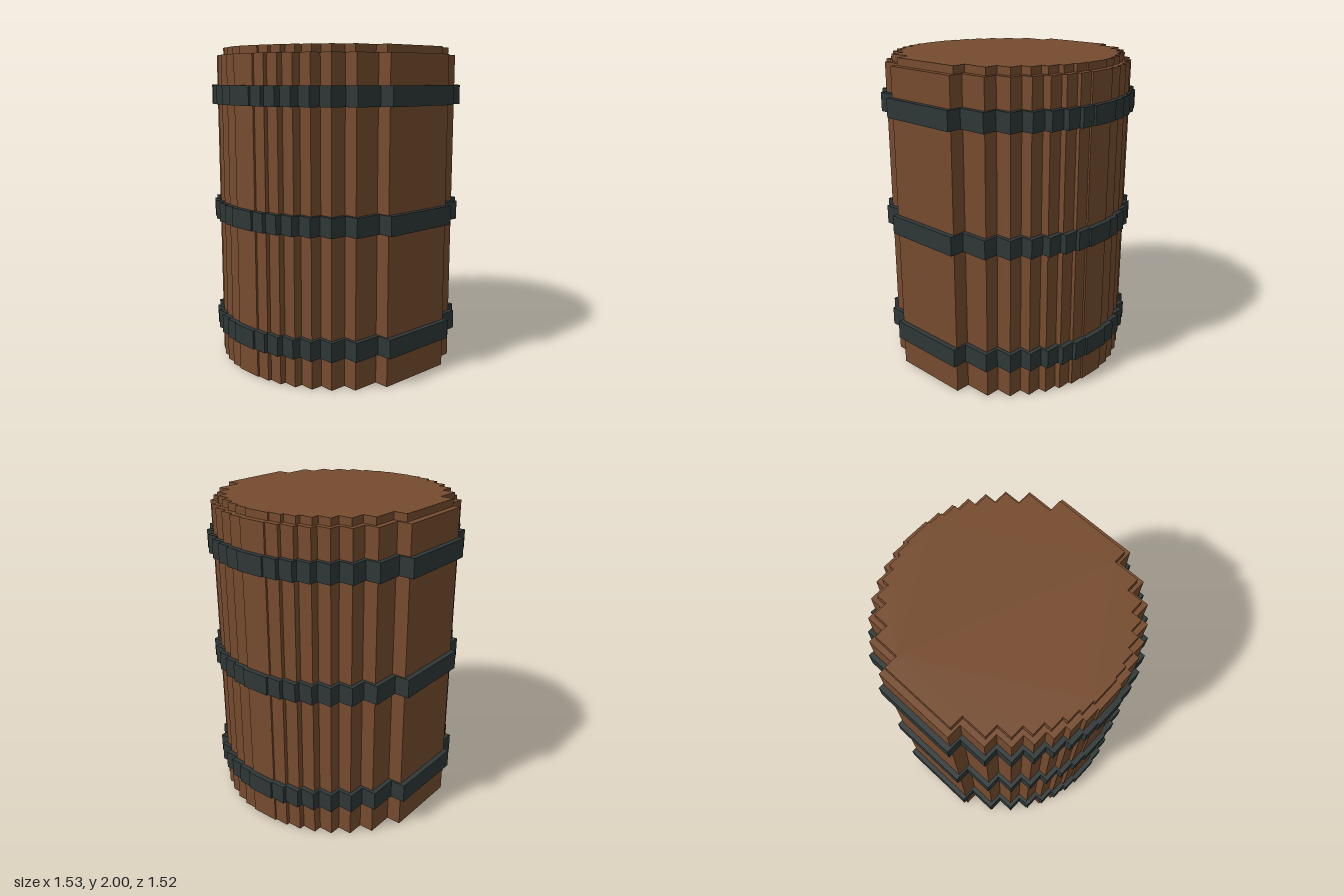
import * as THREE from 'three';

const STRIPS = 8; // strips per half width

// Circle approximated by equal-width strips across x, each as deep as the circle at its middle
function steppedCircle(radius) {
  const width = radius / STRIPS;
  const quarter = [];
  for (let i = STRIPS - 1; i >= 0; i--) {
    const middle = (i + 0.5) * width;
    const depth = Math.sqrt(radius * radius - middle * middle);
    quarter.push([(i + 1) * width, depth]);
    if (i > 0) quarter.push([i * width, depth]);
  }
  const mirrored = (sx, sy) => quarter.map(([x, y]) => new THREE.Vector2(x * sx, y * sy));
  return new THREE.Shape([
    ...mirrored(1, 1),
    ...mirrored(-1, 1).reverse(),
    ...mirrored(-1, -1),
    ...mirrored(1, -1).reverse(),
  ]);
}

// Upright stepped disc between two heights, optionally hollow
function steppedDisc(name, radius, bottom, top, material, holeRadius = 0) {
  const shape = steppedCircle(radius);
  if (holeRadius) shape.holes.push(new THREE.Path(steppedCircle(holeRadius).getPoints()));
  const geometry = new THREE.ExtrudeGeometry(shape, { depth: top - bottom, bevelEnabled: false });
  geometry.rotateX(-Math.PI / 2);
  geometry.translate(0, bottom, 0);
  const mesh = new THREE.Mesh(geometry, material);
  mesh.name = name;
  return mesh;
}

export function createModel() {
  const wood = new THREE.MeshStandardMaterial({ color: 0x754b2e });
  wood.name = 'brown wood';
  const iron = new THREE.MeshStandardMaterial({ color: 0x2e3736 });
  iron.name = 'dark iron';

  const barrel = new THREE.Group();
  barrel.name = 'barrel';

  // Staves and the slightly smaller lid
  barrel.add(steppedDisc('staves', 0.73, 0, 1.954, wood));
  barrel.add(steppedDisc('lid', 0.69, 1.954, 2, wood));

  // Three iron hoops
  [['lowerHoop', 0.245], ['middleHoop', 0.979], ['upperHoop', 1.712]].forEach(([name, y]) => {
    barrel.add(steppedDisc(name, 0.763, y - 0.059, y + 0.059, iron, 0.72));
  });

  return barrel;
}
